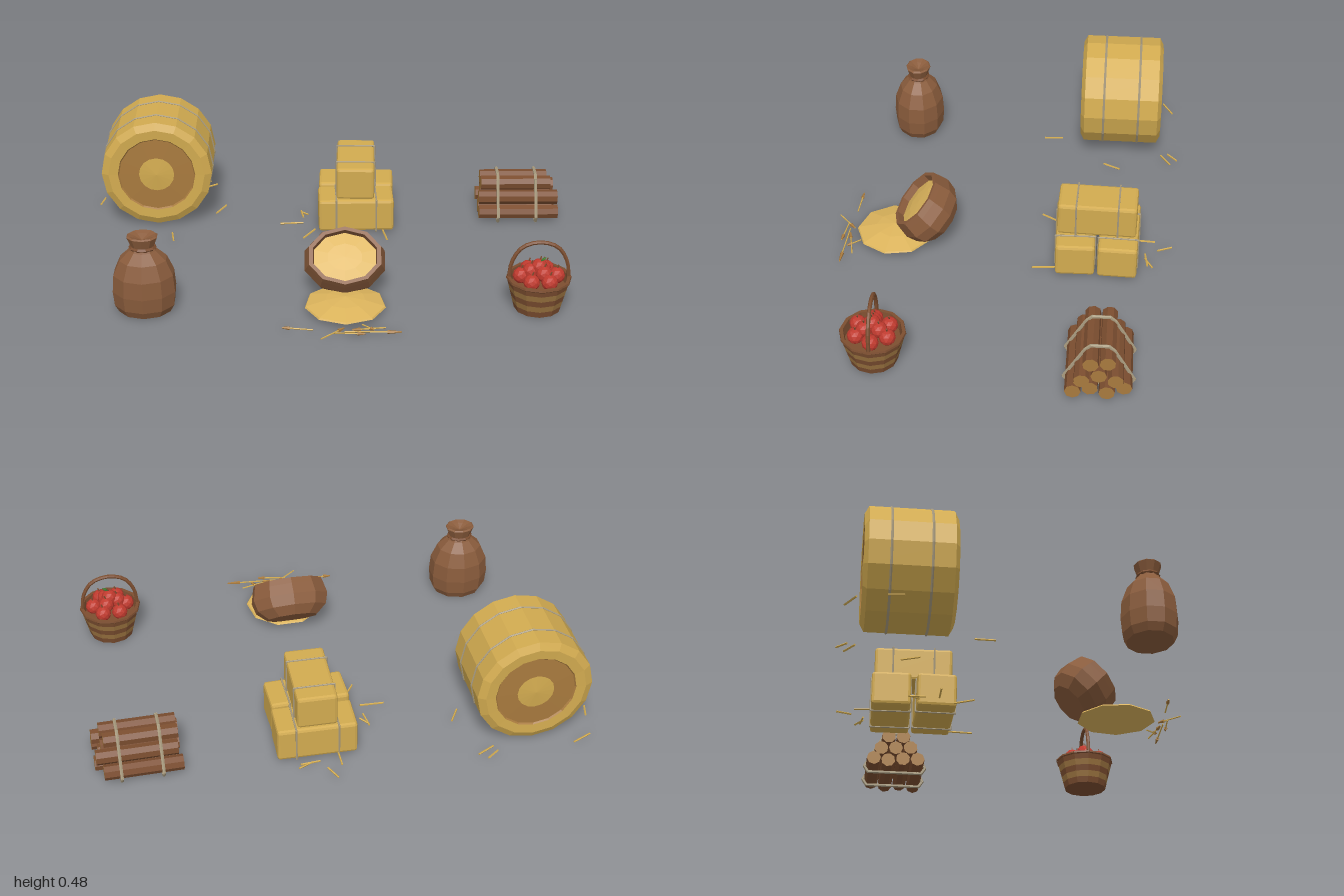
import * as THREE from 'three';
import { RoundedBoxGeometry } from 'three/addons/geometries/RoundedBoxGeometry.js';

const mat = (name, color) => {
  const m = new THREE.MeshStandardMaterial({ color });
  m.name = name;
  return m;
};

export function createModel() {
  const hay = mat('hay', 0xd2ab50), straw = mat('baleEndAndCutWood', 0xa87a3e), twine = mat('twine', 0xa79a7e);
  const sackCloth = mat('sackCloth', 0x8a5c3c), bark = mat('bark', 0x7c4e30), wicker = mat('lightWicker', 0x9c7440);
  const grain = mat('grain', 0xdcb45c), red = mat('appleRed', 0xc03a2e), green = mat('leafGreen', 0x3f7a30);
  const V = (x, y, z) => new THREE.Vector3(x, y, z);

  const root = new THREE.Group();
  root.name = 'farmGoods';
  const group = (name, x = 0, y = 0, z = 0) => {
    const g = new THREE.Group();
    g.name = name;
    g.position.set(x, y, z);
    root.add(g);
    return g;
  };
  // Faceted mesh: every triangle keeps its own normal
  const add = (parent, name, geometry, material) => {
    const g = geometry.index ? geometry.toNonIndexed() : geometry;
    g.computeVertexNormals();
    const m = new THREE.Mesh(g, material);
    m.name = name;
    parent.add(m);
    return m;
  };
  const lathe = (parent, name, profile, sides, material) =>
    add(parent, name, new THREE.LatheGeometry(profile.map(p => new THREE.Vector2(...p)), sides), material);
  // Thin rod between two points
  const rod = (parent, name, a, b, r, material, sides = 5, rEnd = r) => {
    const d = b.clone().sub(a);
    const m = add(parent, name, new THREE.CylinderGeometry(rEnd, r, d.length(), sides), material);
    m.position.copy(a).addScaledVector(d, 0.5);
    m.quaternion.setFromUnitVectors(V(0, 1, 0), d.normalize());
    return m;
  };
  const loop = (parent, name, pts, r) =>
    pts.forEach((p, i) => {
      rod(parent, name, p, pts[(i + 1) % pts.length], r, twine, 6);
      add(parent, name + 'Corner', new THREE.IcosahedronGeometry(r, 0), twine).position.copy(p);
    });

  // Round bale lying along z
  const round = group('roundBale', -0.725, 0.243, -0.455);
  round.rotation.x = Math.PI / 2;
  lathe(round, 'baleBody', [[0.165, -0.172], [0.205, -0.174], [0.235, -0.158], [0.235, 0.158], [0.205, 0.174], [0.165, 0.172]], 16, hay);
  lathe(round, 'endRingFront', [[0.165, 0.172], [0.16, 0.166], [0.075, 0.168]], 16, straw);
  lathe(round, 'endCoreFront', [[0.075, 0.168], [0, 0.174]], 16, hay);
  lathe(round, 'endRingBack', [[0.075, -0.168], [0.16, -0.166], [0.165, -0.172]], 16, straw);
  lathe(round, 'endCoreBack', [[0, -0.174], [0.075, -0.168]], 16, hay);
  for (const s of [-1, 1]) {
    const t = add(round, 'baleTwine', new THREE.TorusGeometry(0.235, 0.005, 5, 16), twine);
    t.rotation.set(Math.PI / 2, 0, Math.PI / 2);
    t.position.y = s * 0.075;
  }

  // Stack of three square bales, each tied twice
  const bales = [
    [0.13, 0.078, -0.47, -0.03], [0.125, 0.078, -0.292, 0.02], [0.126, 0.222, -0.38, Math.PI / 2 - 0.03],
  ];
  for (const [x, y, z, turn] of bales) {
    const b = group('squareBale', x, y, z);
    b.rotation.y = turn;
    add(b, 'baleBlock', new RoundedBoxGeometry(0.32, 0.142, 0.16, 1, 0.012), hay);
    for (const s of [-0.085, 0.085])
      loop(b, 'baleTwine', [V(s, 0.072, 0.081), V(s, 0.072, -0.081), V(s, -0.072, -0.081), V(s, -0.072, 0.081)], 0.004);
  }

  // Log bundle: rows of 4, 3 and 2, with [centre x, length]
  const logs = group('logBundle', 0, 0, -0.415);
  const rows = [
    [[0.83, 0.34], [0.82, 0.32], [0.84, 0.32], [0.815, 0.31]],
    [[0.83, 0.34], [0.82, 0.30], [0.835, 0.32]],
    [[0.82, 0.30], [0.815, 0.29]],
  ];
  rows.forEach((row, j) => row.forEach(([x, len], i) => {
    const l = add(logs, 'log', new THREE.CylinderGeometry(0.031, 0.031, len, 8), [bark, straw, straw]);
    l.rotation.set(i * 0.5 + j * 0.3, 0, Math.PI / 2);
    l.position.set(x, 0.046 + j * 0.054, (i - (row.length - 1) / 2) * -0.064);
  }));
  for (const x of [0.742, 0.905])
    loop(logs, 'bundleRope', [
      V(x, 0.01, 0.118), V(x, 0.035, 0.134), V(x, 0.175, 0.055), V(x, 0.194, 0.035),
      V(x, 0.194, -0.035), V(x, 0.175, -0.055), V(x, 0.035, -0.134), V(x, 0.01, -0.118),
    ], 0.007);

  // Standing tied sack
  const sack = group('tiedSack', -0.72, 0.004, 0.45);
  sack.scale.z = 0.86;
  lathe(sack, 'sackBody', [[0, 0], [0.105, 0], [0.122, 0.03], [0.128, 0.09], [0.122, 0.16], [0.095, 0.222], [0.055, 0.26],
    [0.045, 0.275], [0.062, 0.318], [0.055, 0.323], [0.035, 0.316], [0, 0.3]], 10, sackCloth);
  const tie = add(sack, 'sackTie', new THREE.TorusGeometry(0.047, 0.008, 5, 10), bark);
  tie.rotation.x = Math.PI / 2;
  tie.position.y = 0.272;

  // Tipped open sack
  const open = group('openSack', 0.067, 0.085, 0.265);
  open.rotation.x = Math.PI / 4;
  open.scale.z = 0.8;
  lathe(open, 'sackBody', [[0, 0], [0.11, 0], [0.155, 0.038], [0.168, 0.085], [0.157, 0.13], [0.15, 0.155],
    [0.132, 0.155], [0.128, 0.115]], 10, sackCloth);
  lathe(open, 'sackGrain', [[0.13, 0.125], [0.07, 0.133], [0, 0.135]], 10, grain);

  // Spilled grain: a low cone
  const spill = group('grainSpill', 0.067, 0.022, 0.46);
  lathe(spill, 'grainPile', [[0, 0], [0.162, 0], [0.158, 0.006], [0.08, 0.026], [0, 0.036]], 9, grain);

  // Basket of alternating woven bands
  const basket = group('appleBasket', 0.825, 0.003, 0.45);
  const bandR = t => 0.092 + 0.033 * t;
  for (let i = 0; i < 5; i++)
    lathe(basket, 'wovenBand', [[bandR(i / 5), i * 0.026], [bandR((i + 1) / 5), (i + 1) * 0.026]], 12, i % 2 ? wicker : bark);
  lathe(basket, 'basketBottom', [[0, 0], [0.092, 0]], 12, bark);
  lathe(basket, 'basketRimAndInside', [[0.125, 0.126], [0.129, 0.13], [0.127, 0.138], [0.114, 0.138], [0.108, 0.1], [0, 0.1]], 12, bark);
  const arch = new THREE.CatmullRomCurve3([
    V(-0.118, 0.125, 0), V(-0.108, 0.2, 0), V(-0.07, 0.262, 0), V(0, 0.284, 0), V(0.07, 0.262, 0), V(0.108, 0.2, 0), V(0.118, 0.125, 0),
  ]);
  add(basket, 'basketHandle', new THREE.TubeGeometry(arch, 16, 0.008, 6), bark);

  // Apples: outer ring, inner heap and one on top
  const apple = (x, y, z) => {
    add(basket, 'apple', new THREE.IcosahedronGeometry(0.033, 1), red).position.set(x, y, z);
    rod(basket, 'appleStem', V(x, y + 0.028, z), V(x + 0.006, y + 0.045, z), 0.003, bark);
  };
  for (let i = 0; i < 6; i++) {
    const a = (i + 0.5) * Math.PI / 3;
    apple(Math.sin(a) * 0.07, 0.14, Math.cos(a) * 0.07);
  }
  for (let i = 0; i < 3; i++) {
    const a = i * Math.PI * 2 / 3 + 0.5;
    apple(Math.sin(a) * 0.033, 0.16, Math.cos(a) * 0.033);
  }
  apple(0, 0.178, 0);
  const leaf = add(basket, 'appleLeaf', new THREE.IcosahedronGeometry(0.014, 0), green);
  leaf.scale.set(1, 0.35, 0.6);
  leaf.rotation.z = 0.6;
  leaf.position.set(0.014, 0.214, 0.008);

  // Loose straw on the ground: [x1, z1, x2, z2]
  const loose = group('looseStraw');
  const stalks = [
    [-0.96, -0.65, -0.88, -0.69], [-0.57, -0.67, -0.52, -0.71], [-0.56, -0.64, -0.49, -0.68], [-0.995, -0.48, -0.98, -0.54],
    [-0.48, -0.39, -0.44, -0.46], [-0.66, -0.20, -0.65, -0.12], [0.08, -0.69, 0.11, -0.63], [0.13, -0.58, 0.21, -0.59],
    [0.16, -0.58, 0.22, -0.61], [-0.11, -0.41, -0.1, -0.34], [-0.11, -0.40, -0.08, -0.365], [-0.2, -0.285, -0.1, -0.285],
    [-0.1, -0.145, -0.05, -0.22], [0.05, -0.62, 0.05, -0.54], [0.24, -0.22, 0.255, -0.12],
  ];
  for (const [x1, z1, x2, z2] of stalks) rod(loose, 'stalk', V(x1, 0.008, z1), V(x2, 0.012, z2), 0.004, hay);

  // Fallen grain ears beside the spill
  const ears = [
    [-0.06, 0.64, -0.18, 0.63], [-0.03, 0.71, 0.06, 0.635], [0.22, 0.625, 0.09, 0.65], [0.06, 0.655, 0.28, 0.668],
    [0.13, 0.6, 0.175, 0.65], [0.02, 0.665, 0.14, 0.68],
  ];
  for (const [x1, z1, x2, z2] of ears) {
    const a = V(x1, 0.01, z1), b = V(x2, 0.015, z2);
    rod(loose, 'earStalk', a, b, 0.003, hay);
    rod(loose, 'earHead', b.clone().lerp(a, 0.25), b, 0.008, straw, 5, 0.003);
  }
  return root;
}
